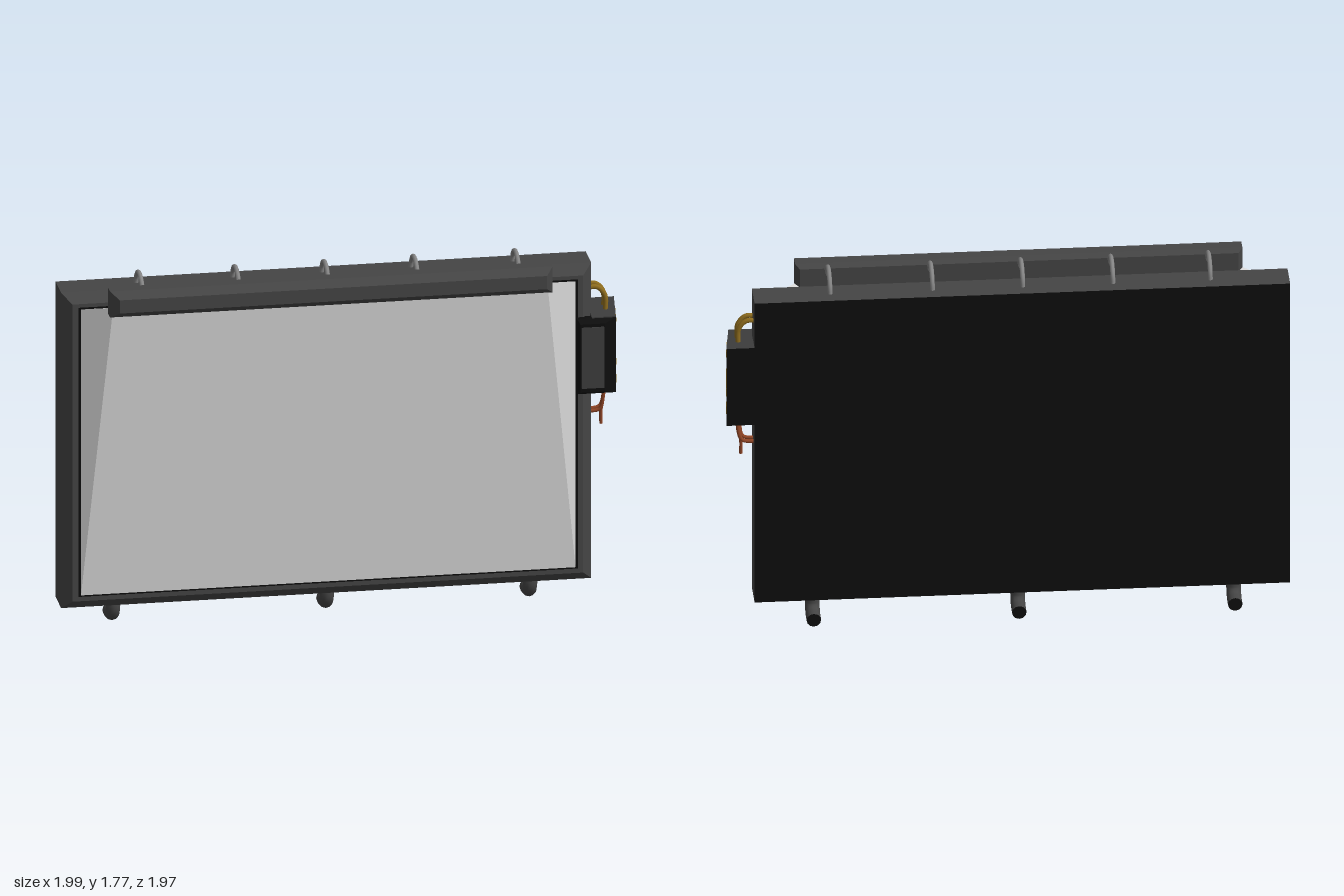
import * as THREE from 'three';

const mat = (name, hex, double) => {
  const m = new THREE.MeshStandardMaterial({ color: hex });
  m.name = name;
  if (double) m.side = THREE.DoubleSide;
  return m;
};

// Flat-shaded loft along z; each section is [x0, x1, y0, y1, z].
// Group 0 is the rear cap, group 1 everything else.
function loft(sections) {
  const p = [];
  const ring = ([x0, x1, y0, y1, z]) => [[x0, y0, z], [x1, y0, z], [x1, y1, z], [x0, y1, z]];
  const quad = (a, b, c, d) => [a, b, c, a, c, d].forEach(v => p.push(...v));
  const rings = sections.map(ring);
  const first = rings[0], last = rings[rings.length - 1];
  quad(first[3], first[2], first[1], first[0]);
  for (let s = 0; s < rings.length - 1; s++) {
    for (let i = 0; i < 4; i++) {
      const j = (i + 1) % 4;
      quad(rings[s][i], rings[s][j], rings[s + 1][j], rings[s + 1][i]);
    }
  }
  quad(...last);
  const g = new THREE.BufferGeometry();
  g.setAttribute('position', new THREE.Float32BufferAttribute(p, 3));
  g.computeVertexNormals();
  g.addGroup(0, 6, 0);
  g.addGroup(6, p.length / 3 - 6, 1);
  return g;
}

export function createModel() {
  const model = new THREE.Group();
  const board = new THREE.Group();
  board.name = 'board';
  board.rotation.y = -0.77; // the whole board stands diagonally
  model.add(board);

  const frameGrey = mat('frameGrey', 0x454545);
  const black = mat('black', 0x0d0d0d);
  const canvasWhite = mat('canvasWhite', 0xdadada, true);
  const steel = mat('steel', 0x858585);
  const boxGrey = mat('boxGrey', 0x3d3d3d);
  const yellow = mat('wornYellow', 0x8f6d1e);
  const copper = mat('copperRed', 0x8f4526);
  const paleGrey = mat('paleGrey', 0xb0b0b0);

  const add = (name, geometry, material, parent = board) => {
    const m = new THREE.Mesh(geometry, material);
    m.name = name;
    parent.add(m);
    return m;
  };
  const tube = (name, pts, r, material, sides = 8) => add(name, new THREE.TubeGeometry(
    new THREE.CatmullRomCurve3(pts.map(q => new THREE.Vector3(...q))), 20, r, sides), material);

  // Frame with chamfered front and black back
  add('frame', loft([
    [-1.322, 1.168, 0.125, 1.68, -0.088],
    [-1.322, 1.168, 0.125, 1.68, 0.067],
    [-1.277, 1.123, 0.17, 1.635, 0.112],
  ]), [black, frameGrey]);

  // Dark seam around the canvas
  add('canvasSeam', new THREE.BoxGeometry(2.345, 1.425, 0.004), black).position.set(-0.0755, 0.905, 0.112);

  // Canvas: fixed to the frame, pulled forward at the top edge
  const bl = [-1.237, 0.2, 0.116], br = [1.086, 0.2, 0.116];
  const tl = [-1.237, 1.61, 0.116], tr = [1.086, 1.61, 0.116];
  const pl = [-1.1, 1.64, 0.2], pr = [0.94, 1.64, 0.2];
  const canvas = new THREE.BufferGeometry();
  canvas.setAttribute('position', new THREE.Float32BufferAttribute([
    bl, br, pr, bl, pr, pl, // front
    br, tr, pr, bl, pl, tl, // side triangles
    pl, pr, tr, pl, tr, tl, // top strip
  ].flat(), 3));
  canvas.computeVertexNormals();
  add('canvas', canvas, canvasWhite);

  // Tension bar along the top of the canvas
  add('tensionBar', loft([
    [-1.103, 0.937, 1.63, 1.72, 0.163],
    [-1.122, 0.957, 1.61, 1.738, 0.185],
    [-1.122, 0.957, 1.61, 1.738, 0.245],
    [-1.082, 0.925, 1.64, 1.705, 0.282],
  ]), frameGrey);

  // Rings tying the bar to the frame
  for (const x of [-0.957, -0.504, -0.085, 0.335, 0.811]) {
    const pts = [];
    for (let i = 0; i <= 8; i++) {
      const t = Math.PI * i / 8;
      pts.push([x, 1.675 + 0.085 * Math.sin(t), 0.08 + 0.095 * Math.cos(t)]);
    }
    tube('tieRing', pts, 0.011, steel);
  }

  // Pipe feet bending backwards, with dark open ends
  for (const x of [-1.064, -0.06, 0.895]) {
    tube('pipeFoot', [[x, 0.14, -0.02], [x, 0.075, -0.022], [x, 0.045, -0.05], [x, 0.036, -0.115]],
      0.034, frameGrey, 12);
    const cap = add('pipeEnd', new THREE.CircleGeometry(0.034, 12), black);
    cap.position.set(x, 0.036, -0.115);
    cap.rotation.y = Math.PI;
  }

  // Control box on the end of the frame
  add('controlBox', loft([
    [1.16, 1.3, 1.05, 1.45, -0.089],
    [1.16, 1.272, 1.06, 1.435, 0.137],
  ]), [black, boxGrey]);
  add('frontHousing', loft([
    [1.09, 1.272, 1.06, 1.43, 0.1],
    [1.09, 1.272, 1.06, 1.43, 0.137],
    [1.1, 1.215, 1.08, 1.415, 0.174],
  ]), black);
  add('housingPanel', new THREE.BoxGeometry(0.105, 0.3, 0.008), boxGrey).position.set(1.158, 1.25, 0.175);

  // Worn markings on the outer face of the box
  const markings = new THREE.Group();
  markings.name = 'markings';
  markings.position.set(1.287, 1.25, 0.024);
  markings.rotation.y = Math.PI / 2 - 0.123;
  board.add(markings);
  const plate = (name, x, y, w, h, m) =>
    add(name, new THREE.BoxGeometry(w, h, 0.006), m, markings).position.set(x, y, 0);
  plate('lowerStripe', 0, -0.14, 0.14, 0.04, yellow);
  plate('upperPatchA', -0.04, 0.15, 0.05, 0.018, yellow);
  plate('upperPatchB', 0.06, 0.15, 0.025, 0.03, yellow);
  const tri = (r, w) => [[0, r], [-w, -r * 0.75], [w, -r * 0.75]].map(q => new THREE.Vector2(...q));
  const sign = new THREE.Shape(tri(0.09, 0.075));
  sign.holes.push(new THREE.Path(tri(0.05, 0.042).reverse()));
  add('warningTriangle', new THREE.ExtrudeGeometry(sign, { depth: 0.003, bevelEnabled: false }), yellow, markings);
  plate('signTip', 0, 0.068, 0.03, 0.03, paleGrey);
  for (const s of [-1, 1]) plate('signCorner', s * 0.045, -0.045, 0.03, 0.025, paleGrey);

  // Yellow wires looping from the frame into the box top
  for (const z of [-0.005, 0.045]) {
    tube('upperWire', [[1.15, 1.55, z], [1.2, 1.55, z], [1.235, 1.51, z], [1.238, 1.42, z]], 0.012, yellow);
  }

  // Loose red wires below the box
  tube('lowerWire', [[1.235, 1.08, 0], [1.235, 1, 0.005], [1.225, 0.93, 0], [1.225, 0.86, 0]], 0.008, copper);
  tube('lowerWire', [[1.235, 1.08, 0.03], [1.23, 1, 0.025], [1.215, 0.94, 0.02], [1.15, 0.93, 0.015]], 0.009, copper);
  tube('lowerWire', [[1.24, 1.08, -0.02], [1.24, 1, -0.02], [1.22, 0.94, -0.02], [1.15, 0.93, -0.02]], 0.009, copper);

  return model;
}
